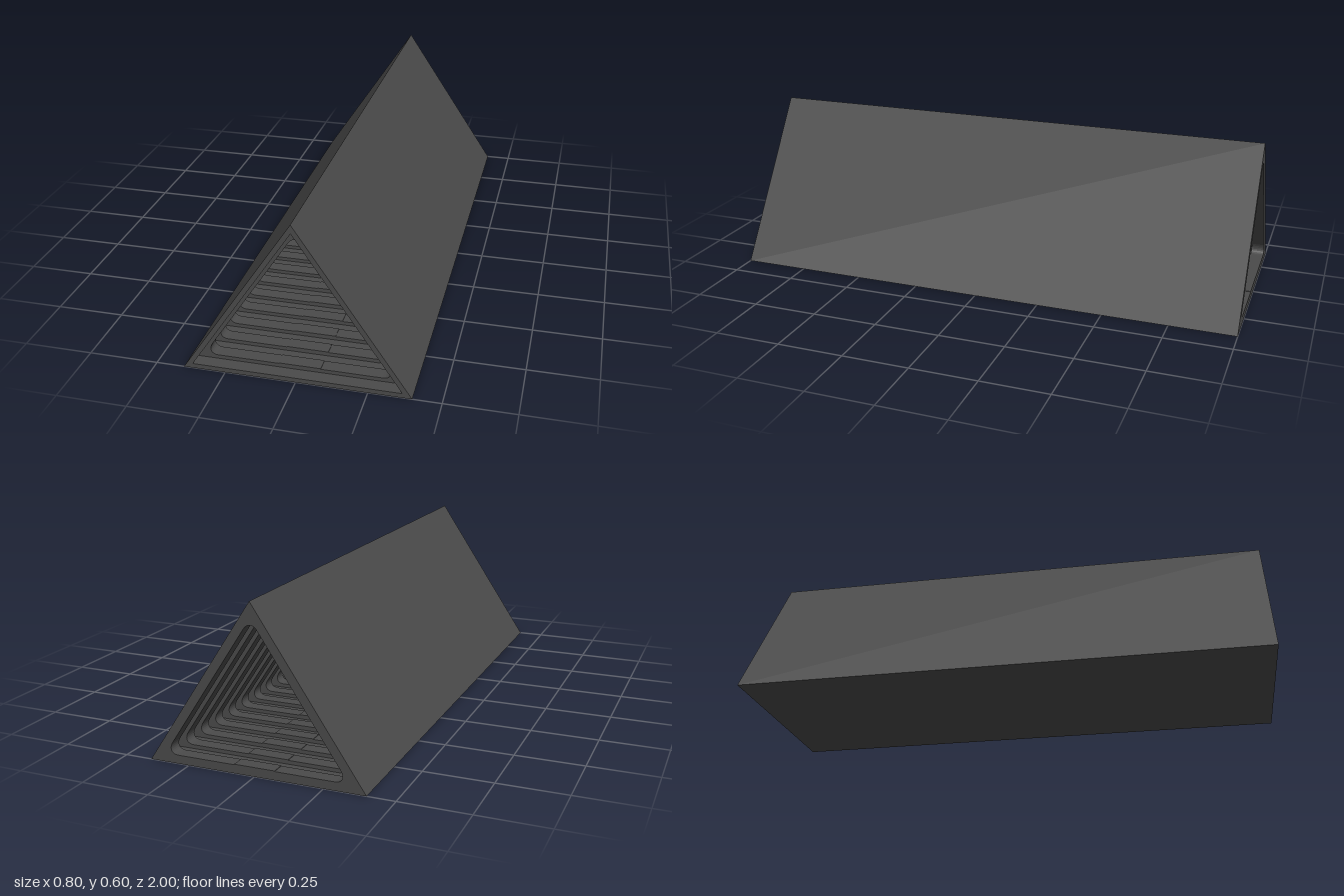
import * as THREE from 'three';

const LENGTH = 2;
const RIB_COUNT = 20;
const PITCH = LENGTH / RIB_COUNT;
const RIB_DEPTH = 0.05;

// Triangular outline with its base at height y
function triangle(PathType, halfWidth, y, apex) {
  const path = new PathType();
  path.moveTo(-halfWidth, y);
  path.lineTo(halfWidth, y);
  path.lineTo(0, apex);
  path.closePath();
  return path;
}

// Rounded triangular opening of a rib, with a slight step mid-floor
function ribOpening() {
  const p = new THREE.Path();
  p.moveTo(-0.075, 0.031);
  p.lineTo(-0.075, 0.033);
  p.lineTo(0.075, 0.033);
  p.lineTo(0.075, 0.031);
  p.lineTo(0.29, 0.031);
  p.bezierCurveTo(0.315, 0.031, 0.325, 0.048, 0.312, 0.072);
  p.lineTo(0.027, 0.502);
  p.bezierCurveTo(0.012, 0.527, -0.012, 0.527, -0.027, 0.502);
  p.lineTo(-0.312, 0.072);
  p.bezierCurveTo(-0.325, 0.048, -0.315, 0.031, -0.29, 0.031);
  p.closePath();
  return p;
}

export function createModel() {
  const group = new THREE.Group();
  group.name = 'ribbedTriangularTube';
  const charcoal = new THREE.MeshStandardMaterial({ color: 0x4a4a4a });
  charcoal.name = 'charcoal';

  // Outer shell, open at both ends
  const shellShape = triangle(THREE.Shape, 0.4, 0, 0.6);
  shellShape.holes.push(triangle(THREE.Path, 0.367, 0.017, 0.568));
  const shell = new THREE.Mesh(
    new THREE.ExtrudeGeometry(shellShape, { depth: LENGTH, bevelEnabled: false }),
    charcoal
  );
  shell.name = 'shell';
  shell.position.z = -LENGTH / 2;
  group.add(shell);

  // Inner ribs: flush with the back end, recessed at the front
  const ribShape = triangle(THREE.Shape, 0.367, 0.017, 0.568);
  ribShape.holes.push(ribOpening());
  const ribGeometry = new THREE.ExtrudeGeometry(ribShape, {
    depth: RIB_DEPTH, bevelEnabled: false, curveSegments: 8,
  });
  const ribs = new THREE.Group();
  ribs.name = 'innerRibs';
  for (let i = 0; i < RIB_COUNT; i++) {
    const rib = new THREE.Mesh(ribGeometry, charcoal);
    rib.name = `rib${i + 1}`;
    rib.position.z = -LENGTH / 2 + i * PITCH;
    ribs.add(rib);
  }
  group.add(ribs);

  return group;
}
